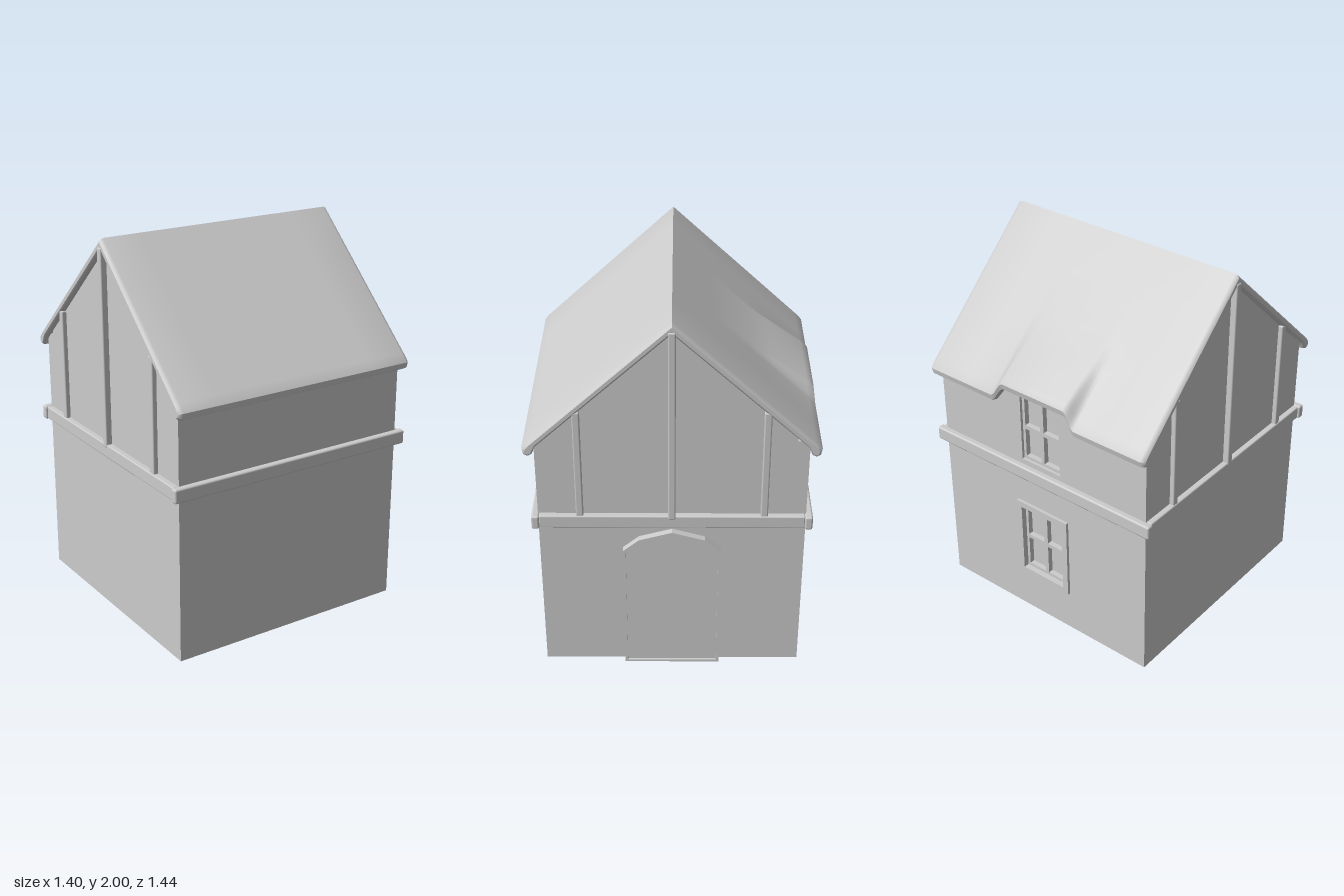
import * as THREE from 'three';
import { toCreasedNormals } from 'three/addons/utils/BufferGeometryUtils.js';
import { RoundedBoxGeometry } from 'three/addons/geometries/RoundedBoxGeometry.js';

const material = new THREE.MeshStandardMaterial({ color: 0xcccccc });
const SLOPE = 0.93; // drop of the roof per unit of depth
const WALL = 0.66;  // half width of the walls

function add(parent, name, geometry, x = 0, y = 0, z = 0) {
  const mesh = new THREE.Mesh(geometry, material);
  mesh.name = name;
  mesh.position.set(x, y, z);
  parent.add(mesh);
  return mesh;
}

// Softly rounded beam given by its lower and upper corner
function beam(parent, name, [x0, y0, z0], [x1, y1, z1], radius = 0.007) {
  return add(parent, name, new RoundedBoxGeometry(x1 - x0, y1 - y0, z1 - z0, 2, radius),
    (x0 + x1) / 2, (y0 + y1) / 2, (z0 + z1) / 2);
}

function polygon(points, Type = THREE.Shape) {
  return new Type(points.map(([x, y]) => new THREE.Vector2(x, y)));
}

function rectangle(w, y0, y1) {
  return [[-w, y0], [w, y0], [w, y1], [-w, y1]];
}

function extrude(shape, depth) {
  return new THREE.ExtrudeGeometry(shape, { depth, bevelEnabled: false });
}

// Roof: one rounded section swept along x, raised over the back window
function roofSection(x, inset) {
  const top = [0.2, 0.39, 0.5, 0.6, 0.68].map(z => [z, 2 - SLOPE * z - inset]);
  const eave = [[0.7, 1.349], [0.718, 1.325], [0.712, 1.295], [0.69, 1.284], [0.668, 1.295]]
    .map(([z, y]) => [z - inset * (z - 0.685) / 0.04, y + inset * (1.318 - y) / 0.04]);
  const under = [0.655, 0.5, 0.39, 0.2].map(z => [z, 1.94 - SLOPE * z + inset]);
  const half = [...top, ...eave, ...under];
  const raise = 0.082 * (1 - THREE.MathUtils.smoothstep(Math.abs(x), 0.195, 0.265));
  const back = half.map(([z, y]) => {
    const lift = raise * THREE.MathUtils.clamp((z - 0.39) / 0.31, 0, 1);
    return [-z + lift * 0.12, y + lift];
  }).reverse();
  return [[0, 2 - inset], ...half, [0, 1.94 + inset], ...back];
}

function roofGeometry() {
  const side = [0.195, 0.21, 0.22, 0.23, 0.24, 0.25, 0.265, 0.45, 0.665, 0.68, 0.688];
  const stations = [...side.map(x => -x).reverse(), 0, ...side];
  const insets = { 0.688: 0.018, 0.68: 0.006 };
  const sections = stations.map(x => roofSection(x, insets[Math.abs(x)] ?? 0));
  const n = sections[0].length;
  const positions = [], index = [];
  sections.forEach((s, i) => s.forEach(([z, y]) => positions.push(stations[i], y, z)));
  for (let i = 0; i < sections.length - 1; i++) {
    for (let j = 0; j < n; j++) {
      const a = i * n + j, b = i * n + (j + 1) % n;
      index.push(a, b, a + n, b, b + n, a + n);
    }
  }
  // End caps
  const last = (sections.length - 1) * n;
  const outline = sections[0].map(([z, y]) => new THREE.Vector2(-z, y));
  for (const [a, b, c] of THREE.ShapeUtils.triangulateShape(outline, [])) {
    index.push(a, c, b, last + a, last + b, last + c);
  }
  const geometry = new THREE.BufferGeometry();
  geometry.setAttribute('position', new THREE.Float32BufferAttribute(positions, 3));
  geometry.setIndex(index);
  return toCreasedNormals(geometry, 0.65);
}

// Window of four panes in the back wall, with a recessed sash
function addWindow(parent, name, w, y0, y1) {
  const group = new THREE.Group();
  group.name = name;
  const sash = 0.016, bar = 0.011, mid = (y0 + y1) / 2;
  const frame = polygon(rectangle(w, y0, y1));
  for (const [xa, xb] of [[-w + sash, -bar], [bar, w - sash]]) {
    for (const [ya, yb] of [[y0 + sash, mid - bar], [mid + bar, y1 - sash]]) {
      frame.holes.push(polygon([[xa, ya], [xa, yb], [xb, yb], [xb, ya]], THREE.Path));
    }
  }
  add(group, 'sash', extrude(frame, 0.03), 0, 0, -0.645);
  add(group, 'panes', new THREE.BoxGeometry(2 * w, y1 - y0, 0.02), 0, mid, -0.607);
  parent.add(group);
  return group;
}

export function createModel() {
  const house = new THREE.Group();
  house.name = 'house';

  // Solid body with gables, its back left open for the pierced wall
  const gable = polygon([[-WALL, 0], [0.6, 0], [0.6, 1.96 - SLOPE * 0.6], [0, 1.96], [-WALL, 1.96 - SLOPE * WALL]]);
  const body = add(house, 'body', extrude(gable, 2 * WALL), -WALL);
  body.rotation.y = Math.PI / 2;

  // Back wall with window openings
  const backShape = polygon([[-WALL, 0], [WALL, 0], [WALL, 1.36], [0.22, 1.36], [0.21, 1.4],
    [-0.21, 1.4], [-0.22, 1.36], [-WALL, 1.36]]);
  const lower = [0.135, 0.268, 0.667], upper = [0.125, 0.97, 1.35];
  for (const opening of [lower, upper]) {
    backShape.holes.push(polygon(rectangle(...opening).reverse(), THREE.Path));
  }
  add(house, 'backWall', extrude(backShape, 0.06), 0, 0, -WALL);

  addWindow(house, 'upperWindow', ...upper);
  const lowerWindow = addWindow(house, 'lowerWindow', ...lower);
  const surround = polygon(rectangle(0.168, 0.235, 0.7));
  surround.holes.push(polygon(rectangle(...lower).reverse(), THREE.Path));
  add(lowerWindow, 'surround', extrude(surround, 0.03), 0, 0, -0.676);

  add(house, 'roof', roofGeometry());

  // Belt of beams between the storeys, and timber posts on both gables
  for (const s of [-1, 1]) {
    const span = (a, b) => s > 0 ? [a, b] : [-b, -a];
    const [z0, z1] = span(0.653, 0.692);
    beam(house, 'longBeltBeam', [-0.7, 0.868, z0], [0.7, 0.942, z1], 0.01);
    const [x0, x1] = span(0.645, 0.69);
    beam(house, 'gableBeltBeam', [x0, 0.87, -0.655], [x1, 0.94, 0.655]);
    for (const z of [-0.453, 0, 0.453]) {
      const [p0, p1] = span(0.645, z === 0 ? 0.693 : 0.685);
      beam(house, 'gablePost', [p0, 0.92, z - 0.018], [p1, z === 0 ? 1.955 : 1.53, z + 0.018]);
    }
  }

  // Pointed door with a thin raised frame
  const arch = (w, y0, shoulder, knee, peak) =>
    [[-w, y0], [w, y0], [w, shoulder], [w * 0.67, knee], [0, peak], [-w * 0.67, knee], [-w, shoulder]];
  const inner = arch(0.231, 0.012, 0.722, 0.785, 0.83);
  const frameShape = polygon(arch(0.245, 0, 0.73, 0.798, 0.845));
  frameShape.holes.push(polygon([...inner].reverse(), THREE.Path));
  const door = new THREE.Group();
  door.name = 'door';
  add(door, 'doorFrame', extrude(frameShape, 0.045));
  add(door, 'doorPanel', extrude(polygon(inner), 0.033));
  door.position.x = 0.65;
  door.rotation.y = Math.PI / 2;
  house.add(door);

  return house;
}
